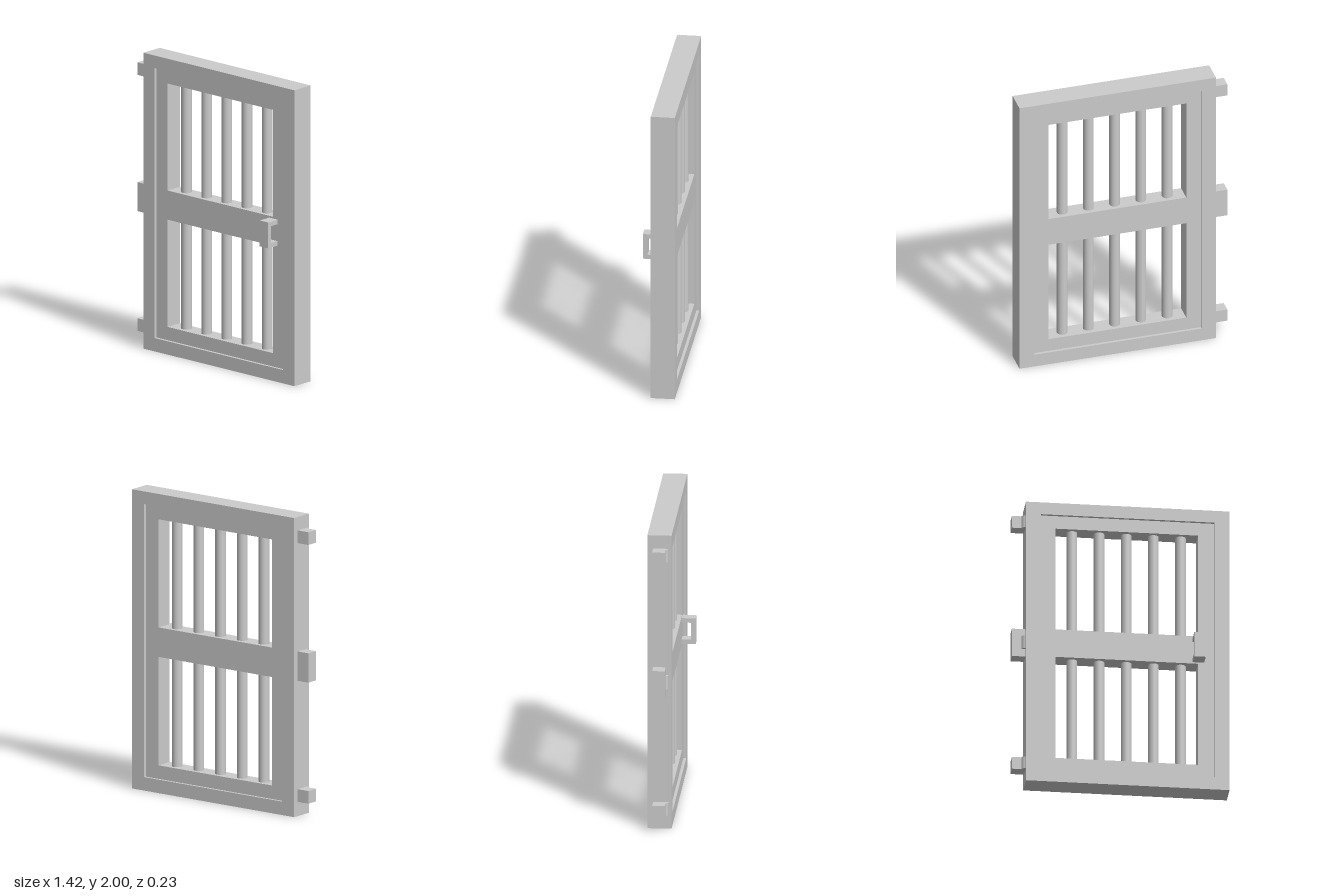
import * as THREE from 'three';

const mat = new THREE.MeshStandardMaterial({ color: 0xcccccc });

function add(parent, name, geometry, x = 0, y = 0, z = 0) {
  const mesh = new THREE.Mesh(geometry, mat);
  mesh.name = name;
  mesh.position.set(x, y, z);
  parent.add(mesh);
  return mesh;
}

// Traces a rectangle onto a Shape or Path
function rect(path, x0, x1, y0, y1) {
  path.moveTo(x0, y0).lineTo(x1, y0).lineTo(x1, y1).lineTo(x0, y1).closePath();
  return path;
}

// Rectangular panel with rectangular openings; bounds are [x0, x1, y0, y1]
function panel(outer, holes, depth) {
  const shape = rect(new THREE.Shape(), ...outer);
  for (const h of holes) shape.holes.push(rect(new THREE.Path(), ...h));
  return new THREE.ExtrudeGeometry(shape, { depth, bevelEnabled: false });
}

export function createModel() {
  const root = new THREE.Group();
  root.name = 'barredDoor';

  // Outer frame
  const opening = [-0.525, 0.61, 0.09, 1.915];
  add(root, 'doorFrame', panel([-0.623, 0.71, 0, 2], [opening], 0.158), 0, 0, -0.117);

  // Door leaf, slightly recessed on both faces, with two windows around the middle rail
  const leaf = new THREE.Group();
  leaf.name = 'doorLeaf';
  root.add(leaf);
  const windows = [[-0.427, 0.506, 0.18, 0.905], [-0.427, 0.506, 1.102, 1.825]];
  add(leaf, 'leafPanel', panel(opening, windows, 0.12), 0, 0, -0.098);

  // Round bars
  const barGeometry = new THREE.CylinderGeometry(0.035, 0.035, 1.68, 24);
  for (let i = 0; i < 5; i++) {
    add(leaf, 'bar', barGeometry, -0.314 + i * 0.178, 1.0025, -0.038);
  }

  // Pull handle: a U-shaped bracket, profile drawn in depth and height
  const profile = new THREE.Shape();
  [[0, 0], [0.098, 0], [0.098, 0.175], [0, 0.175], [0, 0.145], [0.068, 0.145], [0.068, 0.03], [0, 0.03]]
    .forEach(([z, y], i) => (i ? profile.lineTo(z, y) : profile.moveTo(z, y)));
  const handleGeometry = new THREE.ExtrudeGeometry(profile, { depth: 0.075, bevelEnabled: false });
  handleGeometry.rotateY(-Math.PI / 2);
  add(leaf, 'handle', handleGeometry, 0.546, 0.915, 0.016);

  // Side brackets with round pins: [centre height, block height, pin height]
  for (const [y, blockHeight, pinHeight] of [[0.138, 0.085, 0.085], [1.003, 0.196, 0.09], [1.868, 0.085, 0.085]]) {
    const bracket = new THREE.Group();
    bracket.name = 'sideBracket';
    bracket.position.y = y;
    root.add(bracket);
    add(bracket, 'bracketBlock', new THREE.BoxGeometry(0.09, blockHeight, 0.083), -0.666, 0, -0.038);
    add(bracket, 'bracketPin', new THREE.CylinderGeometry(0.03, 0.03, pinHeight, 20), -0.622, 0, -0.007);
  }

  return root;
}
